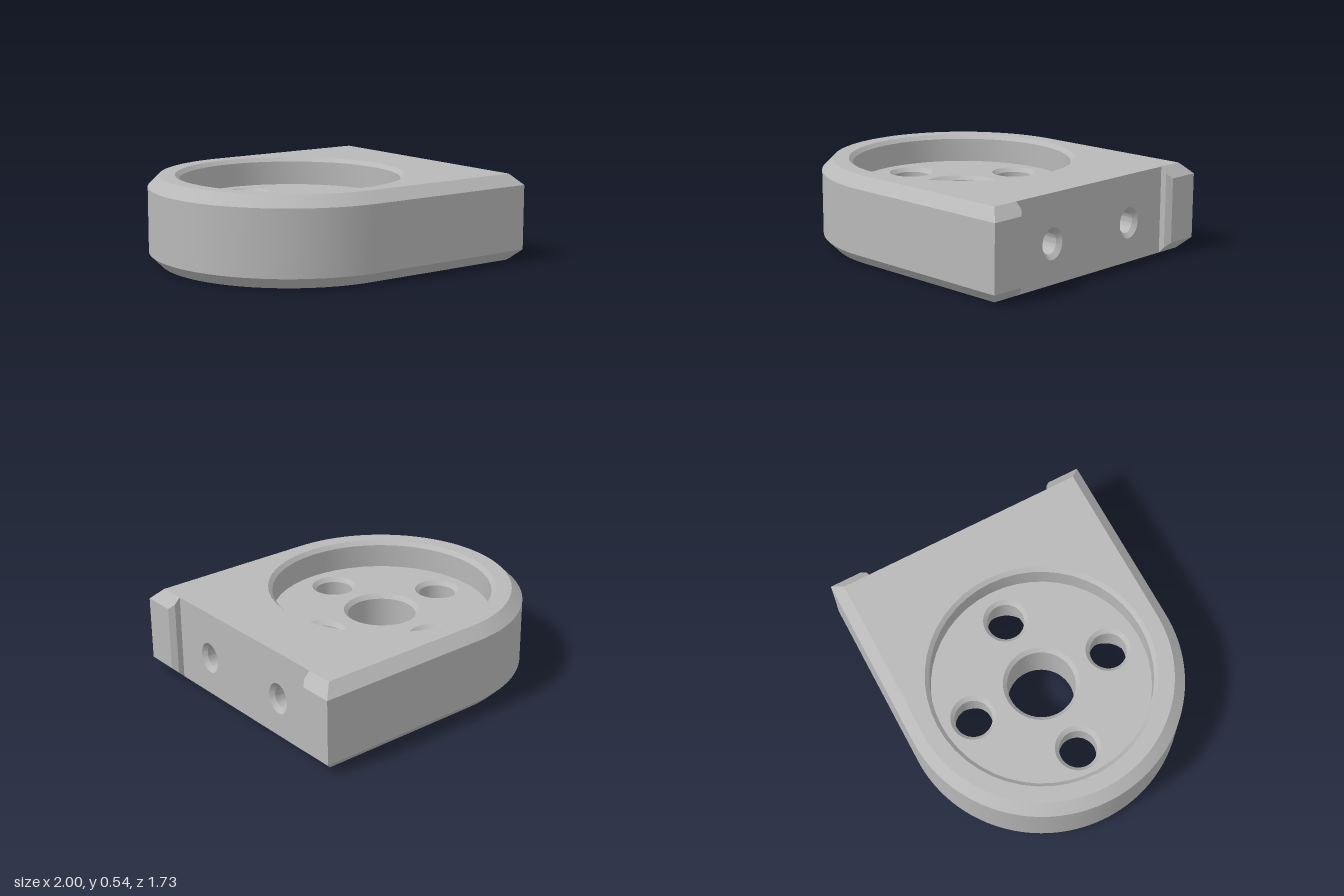
import * as THREE from 'three';
import { toCreasedNormals } from 'three/addons/utils/BufferGeometryUtils.js';

const H = 0.535, C = 0.0675;          // height and edge chamfer
const CX = -0.135, R = 0.865;         // centre and radius of the round end
const FACE = 1 - C;                   // x of the mounting face
const TAB = 0.63;                     // inner z of the tabs
const FLOOR = 0.36, E = 0.025;        // recess floor height, hole edge chamfer
const BOLT = 0.467, SEG = 64;
const bolts = [0, 1, 2, 3].map(i => [CX + BOLT * Math.cos(i * Math.PI / 2), BOLT * Math.sin(i * Math.PI / 2)]);

// Plan outline, moved in by a distance, as [x, z] from the front tab round to the back tab
function outline(inset) {
  const r = R - inset, xe = 1 - inset;
  const tab = [[FACE, TAB], [Math.min(xe, 0.97), TAB], [xe, TAB + Math.max(0, xe - 0.97)], [xe, r]];
  const arc = [];
  for (let i = 0; i <= SEG; i++) {
    const a = Math.PI / 2 + Math.PI * i / SEG;
    arc.push([CX + r * Math.cos(a), r * Math.sin(a)]);
  }
  return [...tab, ...arc, ...tab.map(([x, z]) => [x, -z]).reverse()];
}

// Side wall with its chamfers, joined from outlines at several heights
function wallGeometry() {
  const levels = [[0, C], [C - 0.03, 0.03], [C, 0], [H - C, 0], [H - C + 0.03, 0.03], [H, C]];
  const pos = [], index = [];
  let n = 0;
  for (const [y, inset] of levels) {
    const pts = outline(inset);
    n = pts.length;
    for (const [x, z] of pts) pos.push(x, y, z);
  }
  for (let j = 0; j < levels.length - 1; j++) {
    for (let i = 0; i < n - 1; i++) {
      const a = j * n + i, b = a + 1, d = a + n, c = d + 1;
      index.push(a, d, b, b, d, c);
    }
  }
  const g = new THREE.BufferGeometry();
  g.setAttribute('position', new THREE.Float32BufferAttribute(pos, 3));
  g.setIndex(index);
  return toCreasedNormals(g, 0.5);
}

function cutCircle(shape, x, y, rx, ry = rx) {
  shape.holes.push(new THREE.Path().absellipse(x, y, rx, ry, 0, Math.PI * 2, true));
}

function capShape() {
  return new THREE.Shape(outline(C).slice(3, -3).map(([x, z]) => new THREE.Vector2(x, z)));
}

// Inward-facing bore; the profile of [radius, y] runs from top to bottom
function bore(profile) {
  return toCreasedNormals(new THREE.LatheGeometry(profile.map(p => new THREE.Vector2(...p)), 48), 0.5);
}

export function createModel() {
  const group = new THREE.Group();
  const grey = new THREE.MeshStandardMaterial({ color: 0xb8b8b8 });
  grey.name = 'grey';
  const add = (name, geometry, x = 0, y = 0, z = 0) => {
    const mesh = new THREE.Mesh(geometry, grey);
    mesh.name = name;
    mesh.position.set(x, y, z);
    group.add(mesh);
    return mesh;
  };

  add('outerWall', wallGeometry());

  // Top face around the recess
  const top = capShape();
  cutCircle(top, CX, 0, 0.7);
  add('topFace', new THREE.ShapeGeometry(top, 24).rotateX(-Math.PI / 2), 0, H, 0);

  // Round recess and its floor
  add('recessWall', bore([[0.7, H], [0.675, H - E], [0.675, FLOOR]]), CX);
  const floor = new THREE.Shape().absarc(CX, 0, 0.675, 0, Math.PI * 2, false);
  cutCircle(floor, CX, 0, 0.235);
  bolts.forEach(([x, z]) => cutCircle(floor, x, z, 0.14));
  add('recessFloor', new THREE.ShapeGeometry(floor, 24).rotateX(-Math.PI / 2), 0, FLOOR, 0);

  // Underside
  const bottom = capShape();
  cutCircle(bottom, CX, 0, 0.235);
  bolts.forEach(([x, z]) => cutCircle(bottom, x, z, 0.195));
  add('bottomFace', new THREE.ShapeGeometry(bottom, 24).rotateX(Math.PI / 2));

  // Centre hole, and bolt holes counterbored from below
  add('centreHole', bore([[0.235, FLOOR], [0.21, FLOOR - E], [0.21, E], [0.235, 0]]), CX);
  const boltBore = bore([[0.14, FLOOR], [0.115, FLOOR - E], [0.115, 0.2], [0.17, 0.2], [0.17, E], [0.195, 0]]);
  bolts.forEach(([x, z]) => add('boltHole', boltBore, x, 0, z));

  // Mounting face between the tabs, with two blind holes
  const face = new THREE.Shape([[-TAB, 0], [TAB, 0], [TAB, H], [-TAB, H]].map(p => new THREE.Vector2(...p)));
  const blind = bore([[0.083, 0], [0.059, -E], [0.059, -0.4], [0, -0.4]]).rotateZ(-Math.PI / 2);
  for (const z of [-0.335, 0.335]) {
    cutCircle(face, -z, 0.24, 0.083, 0.095);
    add('sideHole', blind, FACE, 0.24, z).scale.y = 0.095 / 0.083;
  }
  add('mountingFace', new THREE.ShapeGeometry(face, 24).rotateY(Math.PI / 2), FACE, 0, 0);

  return group;
}
